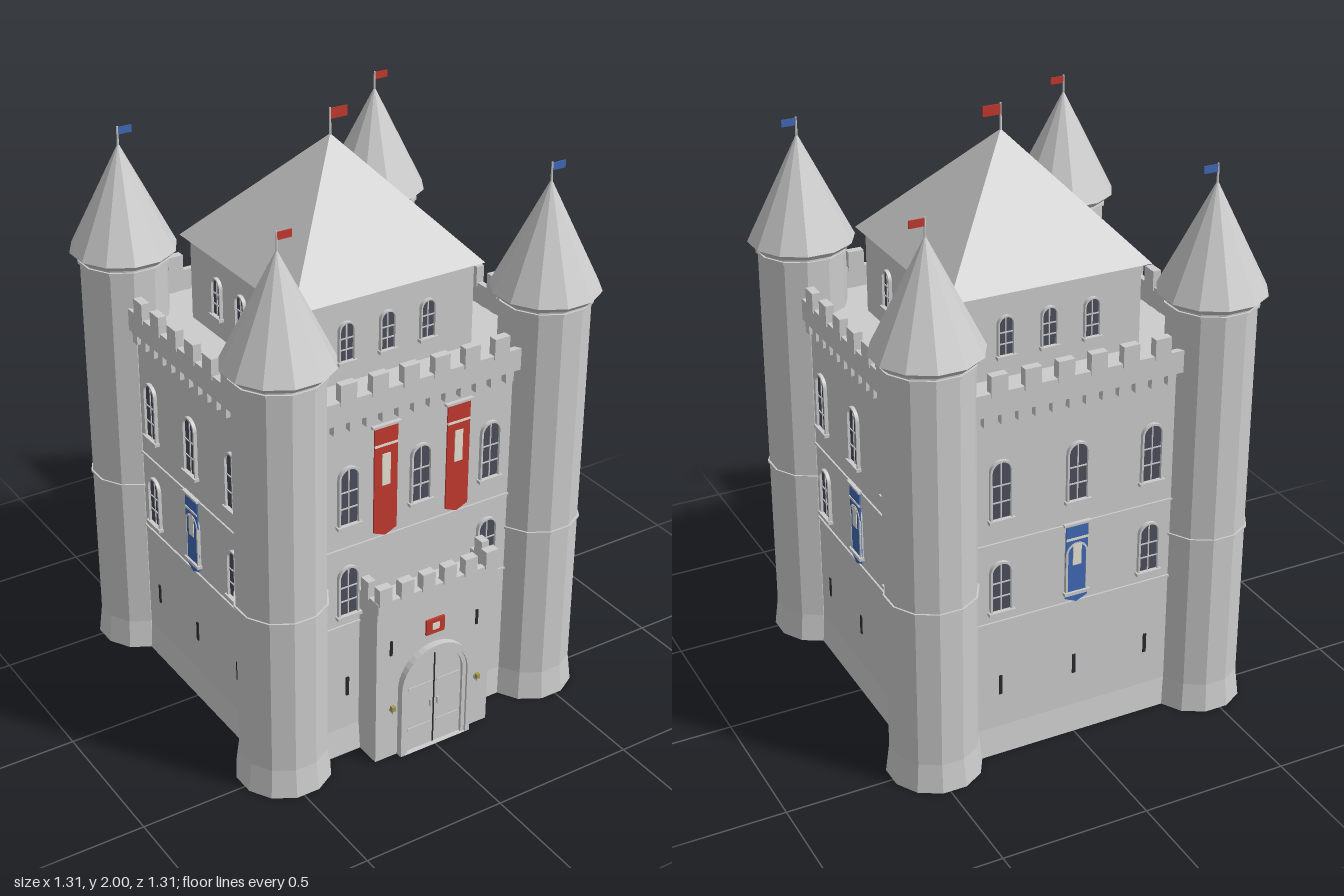
import * as THREE from 'three';

const mat = (color) => new THREE.MeshStandardMaterial({ color, flatShading: true, side: THREE.DoubleSide });
const GREY = mat(0xcccccc), DARK = mat(0x4a4d5c), SLIT = mat(0x2a2a2e), RED = mat(0xc0392f), BLUE = mat(0x3f68b5);
const PALE = mat(0xe6e0d2), BRASS = mat(0xa89a50);
const SIDES = 12, TURN = Math.PI / SIDES;

function add(parent, name, geometry, material = GREY, x = 0, y = 0, z = 0) {
  const mesh = new THREE.Mesh(geometry, material);
  mesh.name = name;
  mesh.position.set(x, y, z);
  parent.add(mesh);
  return mesh;
}

function addGroup(parent, name) {
  const g = new THREE.Group();
  g.name = name;
  parent.add(g);
  return g;
}

// Box given by its bottom and top heights and its back and front depths
function slab(parent, name, x, w, y0, y1, z0, z1, material = GREY) {
  return add(parent, name, new THREE.BoxGeometry(w, y1 - y0, z1 - z0), material, x, (y0 + y1) / 2, (z0 + z1) / 2);
}

// Twelve-sided drum; radii are measured to the flat sides
function drum(parent, name, rTop, rBottom, y0, y1) {
  const k = 1 / Math.cos(TURN);
  const geometry = new THREE.CylinderGeometry(rTop * k, rBottom * k, y1 - y0, SIDES).rotateY(TURN);
  return add(parent, name, geometry, GREY, 0, (y0 + y1) / 2, 0);
}

// Square frustum; half widths are measured to the flat sides
function squareFrustum(parent, name, top, bottom, y0, y1, open) {
  const k = Math.SQRT2;
  const geometry = new THREE.CylinderGeometry(top * k, bottom * k, y1 - y0, 4, 1, open).rotateY(Math.PI / 4);
  return add(parent, name, geometry, GREY, 0, (y0 + y1) / 2, 0);
}

function arch(w, h, Type = THREE.Shape) {
  const r = w / 2, s = new Type();
  s.moveTo(-r, 0).lineTo(r, 0).lineTo(r, h - r);
  s.absarc(0, h - r, r, 0, Math.PI, false);
  s.lineTo(-r, 0);
  return s;
}

const extrude = (shape, depth) => new THREE.ExtrudeGeometry(shape, { depth, bevelEnabled: false, curveSegments: 10 });

// Raised arched band around an opening
function archFrame(parent, name, outer, inner, h, depth, x, y, z) {
  const shape = arch(outer, h);
  shape.holes.push(arch(inner, h - (outer - inner) / 2, THREE.Path));
  return add(parent, name, extrude(shape, depth), GREY, x, y, z);
}

function archWindow(parent, x, y, w, h, z) {
  const g = addGroup(parent, 'window');
  g.position.set(x, y, z);
  add(g, 'glass', extrude(arch(w * 0.9, h - w * 0.05), 0.003), DARK);
  archFrame(g, 'windowFrame', w, w * 0.82, h, 0.012, 0, 0, 0);
  slab(g, 'mullion', 0, 0.004, 0, h - 0.008, 0, 0.006);
  for (const t of [0.28, 0.56]) slab(g, 'glazingBar', 0, w * 0.85, h * t, h * t + 0.004, 0, 0.006);
  slab(g, 'sill', 0, w * 1.15, -0.008, 0.003, 0, 0.018);
}

// Hanging cloth with a shallow pointed hem, a rod and pale markings
function banner(parent, x, y0, y1, w, z, material, panel, stripe) {
  const g = addGroup(parent, 'banner');
  const s = new THREE.Shape(), r = w / 2;
  s.moveTo(-r, y1).lineTo(-r, y0 + 0.018).lineTo(0, y0).lineTo(r, y0 + 0.018).lineTo(r, y1);
  add(g, 'cloth', extrude(s, 0.005), material);
  slab(g, 'bannerRod', 0, w + 0.018, y1 - 0.003, y1 + 0.005, -0.003, 0.011);
  slab(g, 'bannerPanel', 0, 0.03, panel[0], panel[1], 0, 0.008, PALE);
  slab(g, 'bannerStripe', 0, w, stripe, stripe + 0.008, 0, 0.007, PALE);
  g.position.set(x, 0, z);
}

function flag(parent, y0, y1, w, h, material) {
  add(parent, 'flagPole', new THREE.CylinderGeometry(0.003, 0.004, y1 - y0, 6), GREY, 0, (y0 + y1) / 2, 0);
  slab(parent, 'flag', w / 2, w, y1 - h - 0.004, y1 - 0.004, -0.002, 0.002, material);
}

function tower(parent, x, z, flagMaterial) {
  const g = addGroup(parent, 'cornerTower');
  drum(g, 'towerBase', 0.14, 0.152, 0, 0.1);
  drum(g, 'towerShaft', 0.14, 0.14, 0.1, 1.45);
  drum(g, 'towerBand', 0.146, 0.146, 0.65, 0.658);
  drum(g, 'towerCollar', 0.147, 0.147, 1.43, 1.44);
  drum(g, 'towerEaves', 0.17, 0.15, 1.45, 1.47);
  drum(g, 'towerRoof', 0.001, 0.171, 1.47, 1.825);
  flag(g, 1.81, 1.882, 0.05, 0.024, flagMaterial);
  g.position.set(x, 0, z);
}

// One curtain wall with its openings and battlements, built facing +z
function wallSide(parent, isFront) {
  const W = 0.52;
  const g = addGroup(parent, 'wallSide');
  for (const x of [-0.265, 0, 0.265]) {
    archWindow(g, x, 0.87, 0.078, 0.205, W);
    if (isFront && x === 0) continue;
    archWindow(g, x, 0.54, 0.078, 0.18, W);
    slab(g, 'arrowSlit', x, 0.011, 0.225, 0.295, W - 0.015, W + 0.004, SLIT);
  }
  for (const y of [0.495, 0.78]) slab(g, 'stringCourse', 0, 0.74, y, y + 0.007, W - 0.01, W + 0.006);
  if (isFront) for (const x of [-0.135, 0.135]) banner(g, x, 0.793, 1.183, 0.085, W + 0.007, RED, [0.975, 1.085], 1.112);
  else banner(g, 0, 0.502, 0.787, 0.078, W + 0.005, BLUE, [0.64, 0.715], 0.73);

  slab(g, 'parapet', 0, 0.74, 1.238, 1.313, 0.522, 0.543);
  for (let i = 0; i < 12; i++) slab(g, 'corbel', (i - 5.5) * 0.0575, 0.03, 1.205, 1.24, W - 0.01, 0.543);
  for (let i = 0; i < 6; i++) slab(g, 'merlon', (i - 2.5) * 0.112, 0.056, 1.3, 1.37, 0.518, 0.547);

  for (const x of [-0.15, 0, 0.15]) archWindow(g, x, 1.315, 0.058, 0.135, 0.325);
  return g;
}

function gatehouse(parent) {
  const g = addGroup(parent, 'gatehouse'), F = 0.62;
  slab(g, 'gatehouseBody', 0, 0.44, 0, 0.56, 0.5, F);
  slab(g, 'gatehouseCornice', 0, 0.456, 0.555, 0.585, 0.5, 0.635);
  slab(g, 'gatehouseParapet', 0, 0.456, 0.585, 0.622, 0.615, 0.638);
  for (let i = 0; i < 6; i++) slab(g, 'gatehouseMerlon', (i - 2.5) * 0.081, 0.047, 0.615, 0.677, 0.612, 0.643);
  for (const s of [-1, 1]) {
    slab(g, 'gatehouseSideParapet', s * 0.217, 0.022, 0.585, 0.622, 0.52, 0.63);
    slab(g, 'gatehouseSideMerlon', s * 0.217, 0.028, 0.615, 0.677, 0.545, 0.585);
    slab(g, 'gatehouseSlit', s * 0.166, 0.009, 0.4, 0.455, F - 0.01, F + 0.004, SLIT);
    slab(g, 'lanternBracket', s * 0.166, 0.007, 0.185, 0.198, F, F + 0.022);
    slab(g, 'lantern', s * 0.166, 0.013, 0.195, 0.212, F + 0.011, F + 0.024, BRASS);
  }

  // Stepped arch around a two-leaf door
  archFrame(g, 'outerArch', 0.272, 0.24, 0.393, 0.024, 0, 0, F);
  archFrame(g, 'innerArch', 0.242, 0.212, 0.378, 0.016, 0, 0, F);
  add(g, 'door', extrude(arch(0.214, 0.364), 0.006), GREY, 0, 0, F);
  slab(g, 'doorGap', 0, 0.005, 0, 0.36, F, F + 0.0075, SLIT);
  for (const s of [-1, 1]) {
    for (const y of [0.08, 0.24]) slab(g, 'doorStrap', s * 0.055, 0.09, y, y + 0.008, F, F + 0.009);
    slab(g, 'doorHandle', s * 0.014, 0.006, 0.15, 0.175, F, F + 0.014);
  }

  // Plain coloured plaque above the door
  slab(g, 'plaque', 0, 0.07, 0.43, 0.485, F, F + 0.008, RED);
  slab(g, 'plaqueCentre', 0, 0.026, 0.446, 0.47, F, F + 0.011, PALE);
}

export function createModel() {
  const model = new THREE.Group();
  model.name = 'castle';

  // Hollow, open-bottomed base below a solid upper block
  squareFrustum(model, 'wallBatter', 0.52, 0.53, 0, 0.1, true);
  squareFrustum(model, 'lowerWalls', 0.52, 0.52, 0.1, 0.39, true);
  slab(model, 'upperWalls', 0, 1.04, 0.39, 1.24, -0.52, 0.52);

  for (let i = 0; i < 4; i++) wallSide(model, i === 0).rotation.y = i * Math.PI / 2;
  for (const x of [-1, 1]) for (const z of [-1, 1]) tower(model, x * 0.485, z * 0.485, x * z > 0 ? BLUE : RED);
  gatehouse(model);

  // Central keep with its pyramid roof
  const keep = addGroup(model, 'keep');
  slab(keep, 'keepWalls', 0, 0.65, 1.22, 1.535, -0.325, 0.325);
  squareFrustum(keep, 'keepRoof', 0.0005, 0.35, 1.53, 1.915, false);
  flag(keep, 1.9, 2.0, 0.062, 0.034, RED);
  return model;
}
